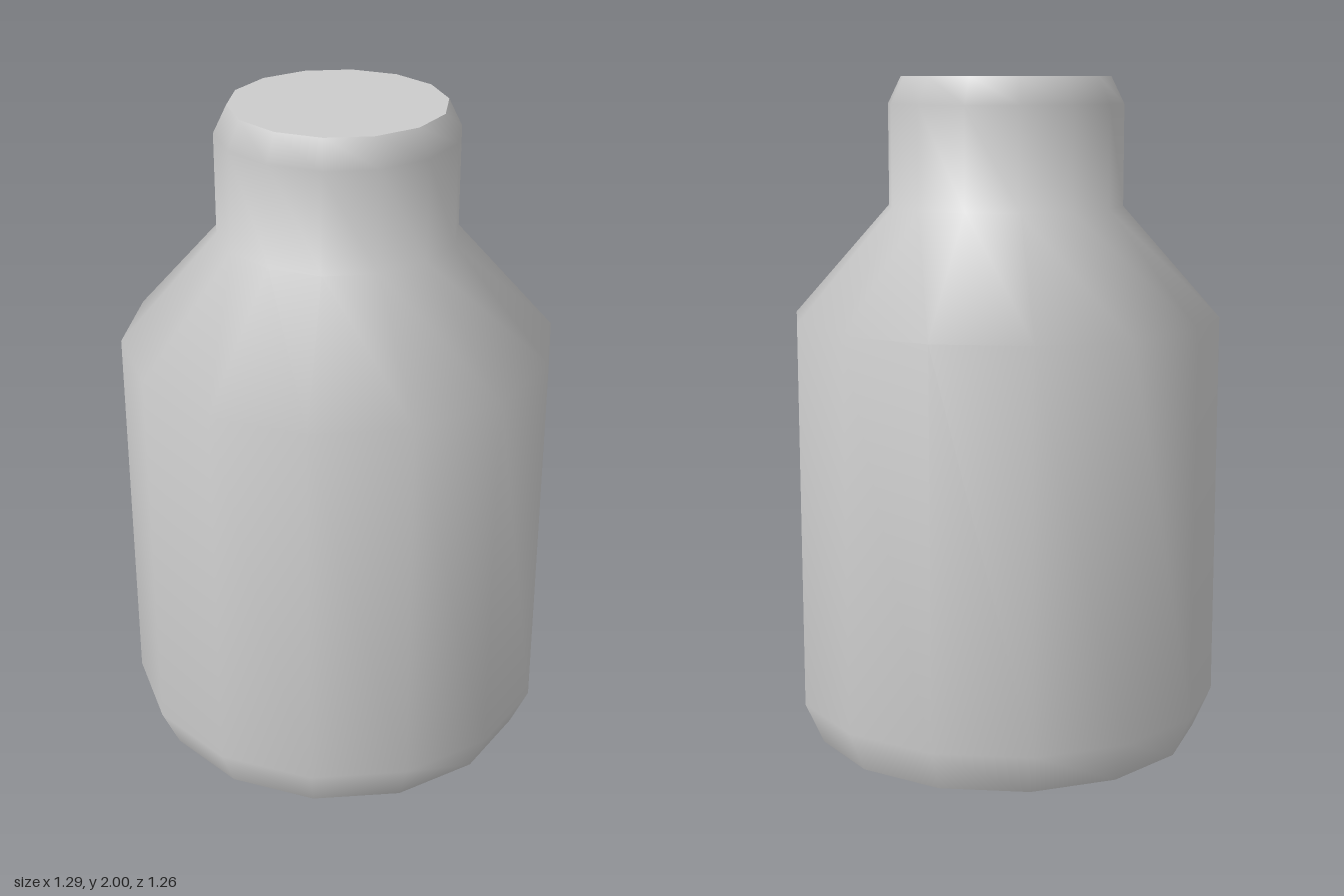
import * as THREE from 'three';

const SIDES = 14;

export function createModel() {
  const group = new THREE.Group();
  group.name = 'bottle';
  const grey = new THREE.MeshStandardMaterial({ color: 0xcccccc });
  grey.name = 'light grey';

  // Smooth wall: bevelled foot, straight body, sloped shoulder, neck and bevelled lip
  const profile = [
    [0.59, 0], [0.645, 0.125], [0.645, 1.29],
    [0.353, 1.62], [0.353, 1.92], [0.314, 2],
  ].map(([r, y]) => new THREE.Vector2(r, y));
  const wall = new THREE.Mesh(new THREE.LatheGeometry(profile, SIDES, Math.PI / 2), grey);
  wall.name = 'bottleWall';
  group.add(wall);

  // Flat end caps with sharp rims
  const addCap = (name, radius, y, tilt) => {
    const cap = new THREE.Mesh(new THREE.CircleGeometry(radius, SIDES).rotateX(tilt), grey);
    cap.name = name;
    cap.position.y = y;
    group.add(cap);
  };
  addCap('topCap', 0.314, 2, -Math.PI / 2);
  addCap('base', 0.59, 0, Math.PI / 2);

  return group;
}
